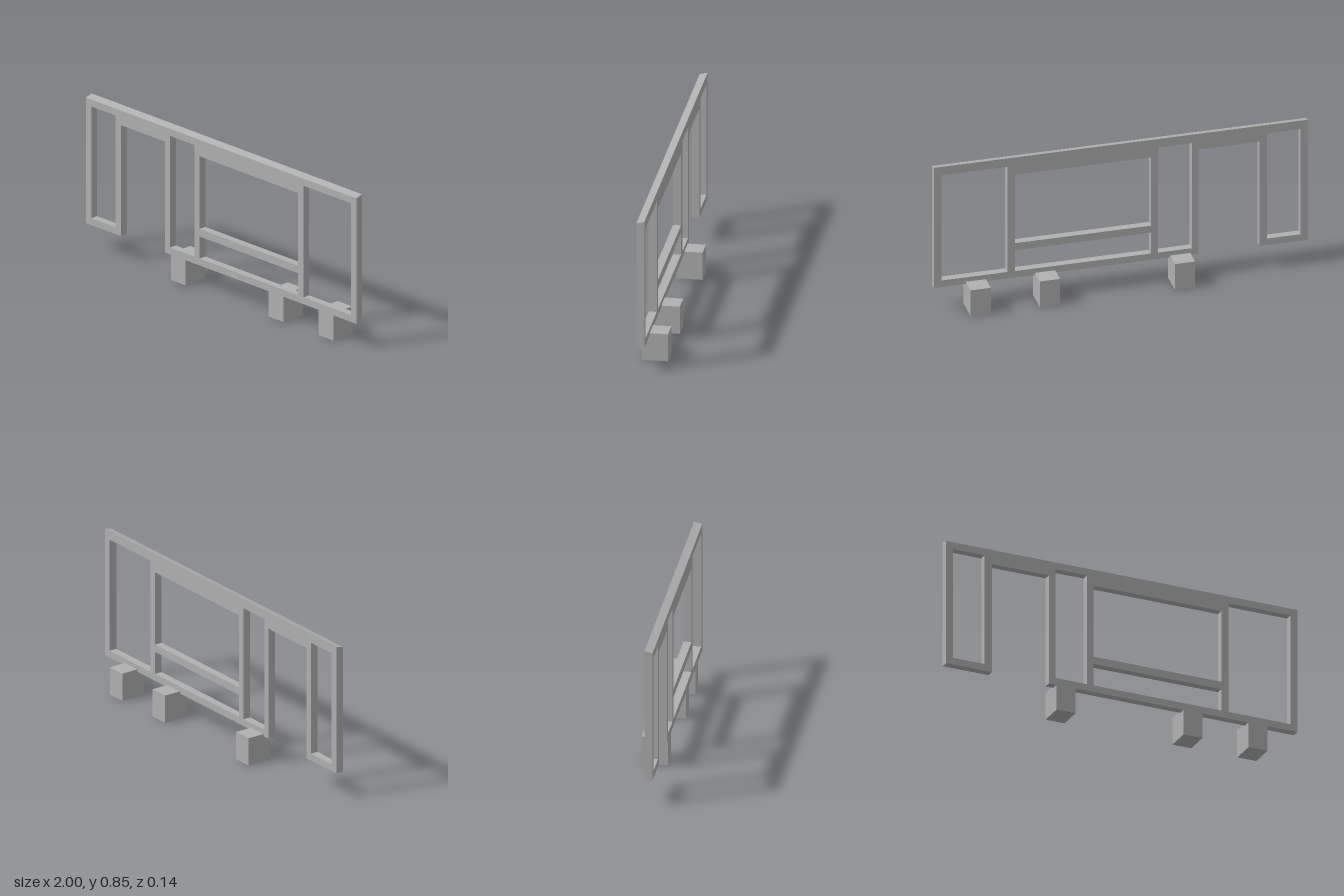
import * as THREE from 'three';

const BACK = 0.027, FRONT = 0.069, BASE = 0.14, TOP = 0.847, TOP_FRONT = 0.836;

const polygon = (Type, points) => new Type(points.map(([x, y]) => new THREE.Vector2(x, y)));
const opening = (x0, x1, y0, y1) =>
  polygon(THREE.Path, [[x0, y0], [x0, y1], [x1, y1], [x1, y0]]);

// Wall frame with a doorway notch and rectangular openings
function createWallFrame(material) {
  const outline = polygon(THREE.Shape, [
    [-1, BASE], [-0.74, BASE], [-0.74, 0.755], [-0.415, 0.755],
    [-0.415, BASE], [1, BASE], [1, TOP], [-1, TOP],
  ]);
  outline.holes.push(
    opening(-0.96, -0.78, 0.178, 0.797),
    opening(-0.378, -0.198, 0.178, 0.797),
    opening(-0.16, 0.568, 0.178, 0.3),
    opening(-0.16, 0.568, 0.342, 0.745),
    opening(0.608, 0.96, 0.178, 0.797),
  );
  const geometry = new THREE.ExtrudeGeometry(outline, { depth: FRONT - BACK, bevelEnabled: false });
  geometry.translate(0, 0, BACK);

  // Slope the top edge down towards the front
  const position = geometry.attributes.position;
  for (let i = 0; i < position.count; i++) {
    if (position.getY(i) > TOP - 0.001 && position.getZ(i) > FRONT - 0.001) position.setY(i, TOP_FRONT);
  }
  geometry.computeVertexNormals();

  const mesh = new THREE.Mesh(geometry, material);
  mesh.name = 'wallFrame';
  return mesh;
}

export function createModel() {
  const model = new THREE.Group();
  model.name = 'framedWall';
  const grey = new THREE.MeshStandardMaterial({ color: 0xb0b0b0 });
  grey.name = 'grey';

  model.add(createWallFrame(grey));

  // Foundation blocks, flush with the front of the wall
  const blockGeometry = new THREE.BoxGeometry(0.108, 0.152, 2 * FRONT);
  [-0.316, 0.406, 0.776].forEach((x, i) => {
    const block = new THREE.Mesh(blockGeometry, grey);
    block.position.set(x, 0.076, 0);
    block.name = `foundationBlock${i + 1}`;
    model.add(block);
  });

  return model;
}
